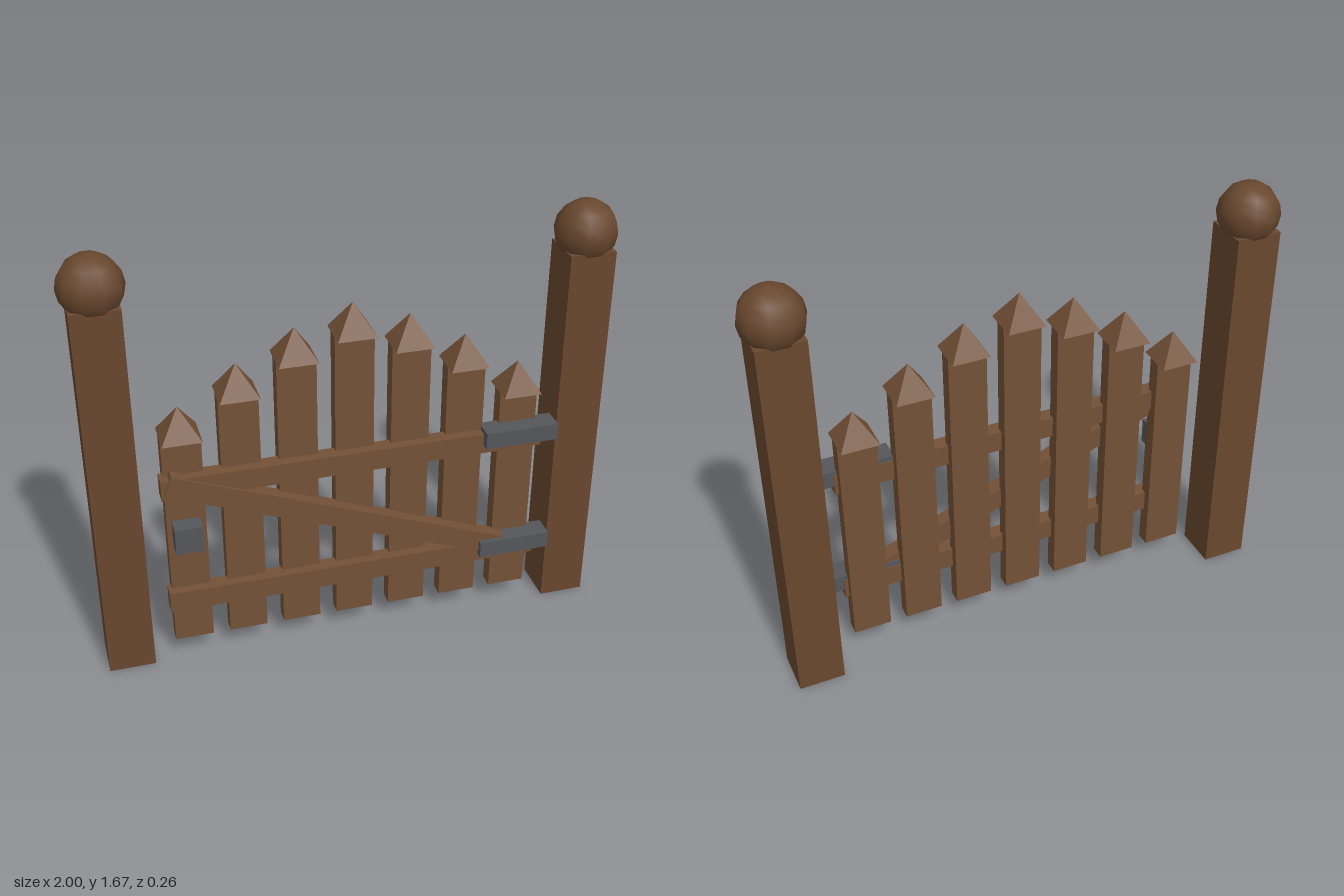
import * as THREE from 'three';

export function createModel() {
  const gate = new THREE.Group();
  gate.name = 'picketGate';

  const postWood = new THREE.MeshStandardMaterial({ color: 0x68472e });
  const wood = new THREE.MeshStandardMaterial({ color: 0x735136 });
  const capWood = new THREE.MeshStandardMaterial({ color: 0x735136, flatShading: true });
  const iron = new THREE.MeshStandardMaterial({ color: 0x55565a });

  function add(name, geometry, material, x, y, z) {
    const mesh = new THREE.Mesh(geometry, material);
    mesh.name = name;
    mesh.position.set(x, y, z);
    gate.add(mesh);
    return mesh;
  }

  // Box given by its limits on each axis
  function addBox(name, material, [x0, x1], [y0, y1], [z0, z1]) {
    return add(name, new THREE.BoxGeometry(x1 - x0, y1 - y0, z1 - z0), material,
      (x0 + x1) / 2, (y0 + y1) / 2, (z0 + z1) / 2);
  }

  // Square posts with ball finials
  for (const [side, s] of [['left', 1], ['right', -1]]) {
    add(side + 'Post', new THREE.BoxGeometry(0.175, 1.5, 0.175), postWood, s * 0.883, 0.75, -0.017);
    add(side + 'PostBall', new THREE.SphereGeometry(0.117, 10, 8), postWood, s * 0.883, 1.558, -0.017);
  }

  // Pickets rising to the middle, each under a square pyramid cap
  const width = 0.146, capHeight = 0.116, bottom = 0.09, gateZ = 0.033;
  const tops = [1.295, 1.225, 1.115, 0.975];
  const capGeometry = new THREE.ConeGeometry(width / Math.SQRT2, capHeight, 4).rotateY(Math.PI / 4);
  for (let i = -3; i <= 3; i++) {
    const x = i * 0.212, top = tops[Math.abs(i)];
    addBox('picket', wood, [x - width / 2, x + width / 2], [bottom, top], [gateZ - 0.028, gateZ + 0.028]);
    add('picketCap', capGeometry, capWood, x, top + capHeight / 2, gateZ);
  }

  // Rails and diagonal brace
  addBox('upperRail', wood, [-0.723, 0.723], [0.75, 0.832], [0.037, 0.098]);
  addBox('lowerRail', wood, [-0.723, 0.723], [0.252, 0.335], [0.037, 0.098]);
  const brace = add('brace', new THREE.BoxGeometry(1.5, 0.083, 0.06), wood, 0, 0.541, 0.079);
  brace.rotation.z = -0.37;

  // Hinges on the left post side, latch on the other
  addBox('upperHinge', iron, [0.492, 0.775], [0.784, 0.85], [0.042, 0.13]);
  addBox('lowerHinge', iron, [0.492, 0.775], [0.288, 0.354], [0.042, 0.13]);
  addBox('latch', iron, [-0.69, -0.586], [0.532, 0.636], [0.052, 0.13]);

  return gate;
}
